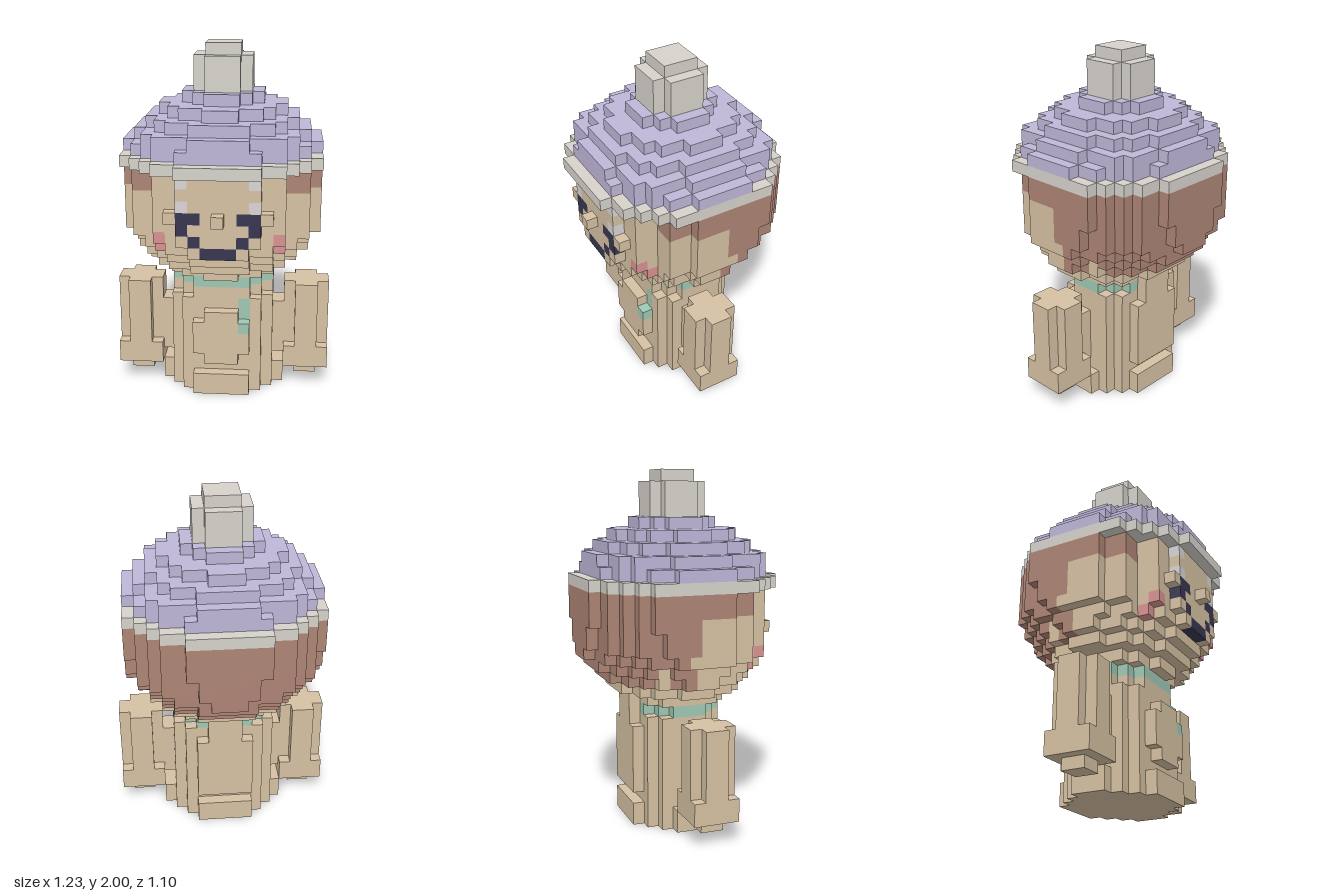
import * as THREE from 'three';
import { mergeGeometries } from 'three/addons/utils/BufferGeometryUtils.js';

const U = 2 / 31; // edge of one block; the model is 31 blocks tall

const COLORS = {
  tan: 0xd5c0a2, hairBrown: 0xac8474, lilac: 0xbeb6d7, stoneGrey: 0xd6d2cb,
  inkBlue: 0x363550, blushPink: 0xd89191, mintGreen: 0x9fc8b3, paleGrey: 0xd8d5d3,
};

// The six faces of a block: outward direction and the rotation of a plane facing +z
const FACES = [
  [0, 0, 1, 0, 0], [0, 0, -1, 0, Math.PI],
  [1, 0, 0, 0, Math.PI / 2], [-1, 0, 0, 0, -Math.PI / 2],
  [0, 1, 0, -Math.PI / 2, 0], [0, -1, 0, Math.PI / 2, 0],
];

export function createModel() {
  const cells = new Map();
  const key = (i, j, k) => `${i},${j},${k}`;
  const put = (part, color, i, j, k) => cells.set(key(i, j, k), { part, color, i, j, k });

  const box = (part, color, i0, i1, j0, j1, k0, k1) => {
    for (let i = i0; i <= i1; i++)
      for (let j = j0; j <= j1; j++)
        for (let k = k0; k <= k1; k++) put(part, color, i, j, k);
  };
  // Stepped disc: half widths listed outward from the middle row
  const disc = (part, color, j0, j1, widths, back = widths) => {
    for (let k = 1 - back.length; k < widths.length; k++) {
      const w = k < 0 ? back[-k] : widths[k];
      box(part, color, -w, w, j0, j1, k, k);
    }
  };
  const repaint = (part, color, i, j, k) => {
    for (const s of [-1, 1]) put(part, color, s * i, j, k);
  };

  // Base, torso and neck
  disc('base', 'tan', 0, 1, [5, 5, 4, 3, 2]);
  disc('torso', 'tan', 2, 2, [4, 4, 4, 3]);
  disc('torso', 'tan', 3, 8, [4, 4, 4, 3], [4, 4, 4, 3, 2]);
  disc('torso', 'tan', 9, 9, [4, 4, 3, 2], [4, 4, 4, 3, 1]);
  disc('collar', 'mintGreen', 10, 10, [4, 4, 3, 2]);
  box('torso', 'tan', -1, 1, 10, 10, -4, -4);
  disc('neck', 'tan', 11, 11, [4, 4, 4, 3, 1]);

  // Belly plate and ribbon end
  box('belly', 'tan', -1, 1, 3, 7, 4, 4);
  box('belly', 'tan', -2, 2, 4, 6, 4, 4);
  box('ribbon', 'mintGreen', 2, 2, 7, 8, 3, 3);
  put('ribbon', 'mintGreen', 2, 6, 4);

  // Arms: column with notched corners, wider cuff, small hand
  for (const s of [-1, 1]) {
    const part = s > 0 ? 'leftArm' : 'rightArm';
    const armBox = (a, b, ...rest) =>
      box(part, 'tan', Math.min(s * a, s * b), Math.max(s * a, s * b), ...rest);
    armBox(7, 8, 2, 9, -1, 2);
    armBox(6, 9, 2, 9, 0, 1);
    armBox(6, 9, 2, 3, -1, 2);
    armBox(7, 8, 1, 1, 0, 1);
    armBox(5, 5, 3, 7, 0, 1);
  }

  // Head, widening upward from the chin; the back fills out under the hat
  const face = [8, 8, 8, 7, 7, 5, 5, 3];
  disc('head', 'tan', 12, 12, [6, 6, 5, 5, 4, 2]);
  disc('head', 'tan', 13, 13, [7, 7, 6, 6, 5, 4, 2]);
  disc('head', 'tan', 14, 14, [7, 7, 7, 6, 6, 5, 4, 2]);
  disc('head', 'tan', 15, 15, face, [8, 8, 8, 7, 7, 6, 5, 4, 1]);
  disc('head', 'tan', 16, 17, face, [8, 8, 8, 8, 7, 7, 6, 5, 2]);
  disc('head', 'tan', 18, 20, face, [8, 8, 8, 8, 8, 7, 6, 5, 3]);

  // Hair: whole back of the head, with a fringe round the temples
  for (const c of cells.values()) {
    if (c.part !== 'head' || c.j < 13) continue;
    const { j, k } = c;
    const fringe = j >= 19 && k <= 4;
    const backHair = j >= 16 ? k <= -1 : j === 15 ? k <= -2 : k <= -1 && k !== -3;
    if (fringe || backHair) { c.part = 'hair'; c.color = 'hairBrown'; }
  }

  // Face
  put('nose', 'tan', 0, 17, 8);
  box('mouth', 'inkBlue', -1, 1, 14, 14, 7, 7);
  for (const [i, j] of [[3, 16], [3, 17], [2, 17], [2, 15]]) repaint('eyes', 'inkBlue', i, j, 7);
  for (const j of [18, 20]) repaint('brows', 'paleGrey', 3, j, 7);
  repaint('eyeCorners', 'tan', 4, 17, 7);
  repaint('cheeks', 'blushPink', 5, 15, 6);
  repaint('cheeks', 'blushPink', 5, 14, 5);

  // Hat: brim, stepped dome and bobble
  disc('hatBrim', 'stoneGrey', 21, 21, [8, 8, 8, 8, 8, 7, 6, 5, 3]);
  [
    [8, 8, 8, 7, 7, 6, 5, 3],
    [7, 7, 7, 6, 6, 6, 5, 2],
    [6, 6, 6, 5, 5, 4, 2],
    [5, 5, 4, 4, 3, 1],
    [3, 3, 2, 1],
  ].forEach((widths, n) => disc('hatDome', 'lilac', 22 + n, 22 + n, widths));
  disc('bobble', 'stoneGrey', 27, 29, [2, 2, 1]);
  disc('bobble', 'stoneGrey', 30, 30, [1, 1]);

  // Turn the exposed faces of each part into one mesh
  const parts = new Map();
  for (const { part, color, i, j, k } of cells.values()) {
    for (const [dx, dy, dz, rx, ry] of FACES) {
      if (cells.has(key(i + dx, j + dy, k + dz))) continue;
      const side = new THREE.PlaneGeometry(U, U).rotateX(rx).rotateY(ry);
      side.translate((i + dx / 2) * U, (j + 0.5 + dy / 2) * U, (k + dz / 2) * U);
      if (!parts.has(part)) parts.set(part, { color, sides: [] });
      parts.get(part).sides.push(side);
    }
  }

  const materials = {};
  for (const [name, color] of Object.entries(COLORS)) {
    materials[name] = new THREE.MeshStandardMaterial({ color });
    materials[name].name = name;
  }
  const model = new THREE.Group();
  model.name = 'blockFigure';
  for (const [name, { color, sides }] of parts) {
    const mesh = new THREE.Mesh(mergeGeometries(sides), materials[color]);
    mesh.name = name;
    model.add(mesh);
  }
  return model;
}
